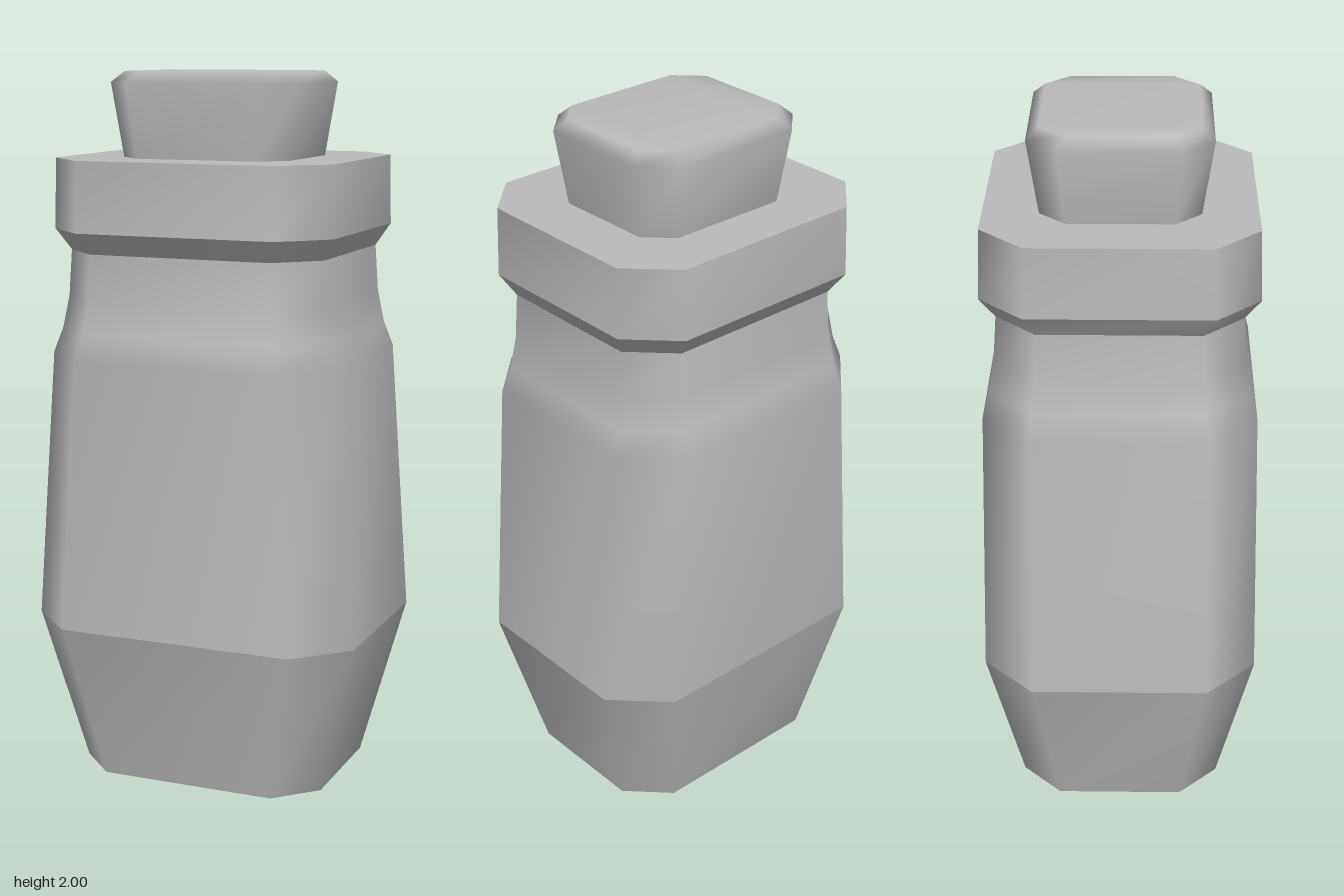
import * as THREE from 'three';

// Chamfered rectangle, counterclockwise seen from above
function ring([y, hx, hz, c]) {
  return [
    [hx, y, hz - c], [hx, y, c - hz], [hx - c, y, -hz], [c - hx, y, -hz],
    [-hx, y, c - hz], [-hx, y, hz - c], [c - hx, y, hz], [hx - c, y, hz],
  ].flat();
}

const capFaces = [[0, 1, 2, 7], [7, 2, 3, 6], [6, 3, 4, 5]];

// Smooth skin through rows of [y, half width, half depth, chamfer];
// closeTop and closeBottom share the rim normals, so edges look soft
function loft(rows, { walls = true, closeTop = false, closeBottom = false } = {}) {
  const index = [];
  if (walls) {
    for (let r = 0; r < rows.length - 1; r++) {
      for (let i = 0; i < 8; i++) {
        const a = r * 8 + i, b = r * 8 + (i + 1) % 8;
        index.push(a, b, b + 8, a, b + 8, a + 8);
      }
    }
  }
  const top = (rows.length - 1) * 8;
  for (const [a, b, c, d] of capFaces) {
    if (closeTop) index.push(top + a, top + b, top + c, top + a, top + c, top + d);
    if (closeBottom) index.push(a, c, b, a, d, c);
  }
  const geometry = new THREE.BufferGeometry();
  geometry.setAttribute('position', new THREE.Float32BufferAttribute(rows.flatMap(ring), 3));
  geometry.setIndex(index);
  geometry.computeVertexNormals();
  return geometry;
}

export function createModel() {
  const model = new THREE.Group();
  model.name = 'stopperedBottle';
  const grey = new THREE.MeshStandardMaterial({ color: 0xbababa });
  grey.name = 'plain grey';

  const add = (name, rows, options) => {
    const mesh = new THREE.Mesh(loft(rows, options), grey);
    mesh.name = name;
    model.add(mesh);
  };

  const foot = [0, 0.365, 0.287, 0.11];
  const belly = [0.45, 0.48, 0.385, 0.14];
  const neck = [1.51, 0.375, 0.328, 0.11];
  const rim = [1.57, 0.41, 0.37, 0.122];
  const collarTop = [1.765, 0.407, 0.363, 0.12];

  // Body: flat base, tapered foot and shouldered sides
  add('base', [foot], { walls: false, closeBottom: true });
  add('lowerBody', [foot, belly]);
  add('upperBody', [
    belly,
    [1.22, 0.425, 0.37, 0.13],
    [1.29, 0.4, 0.352, 0.122],
    [1.38, 0.383, 0.337, 0.115],
    neck,
  ]);

  // Collar with an undercut lip
  add('collarLip', [neck, rim]);
  add('collar', [rim, collarTop]);
  add('collarTop', [collarTop], { walls: false, closeTop: true });

  // Stopper flaring upward to a soft top
  add('stopper', [
    [1.76, 0.245, 0.212, 0.07],
    [1.97, 0.275, 0.243, 0.081],
    [2.0, 0.243, 0.211, 0.07],
  ], { closeTop: true });

  return model;
}
